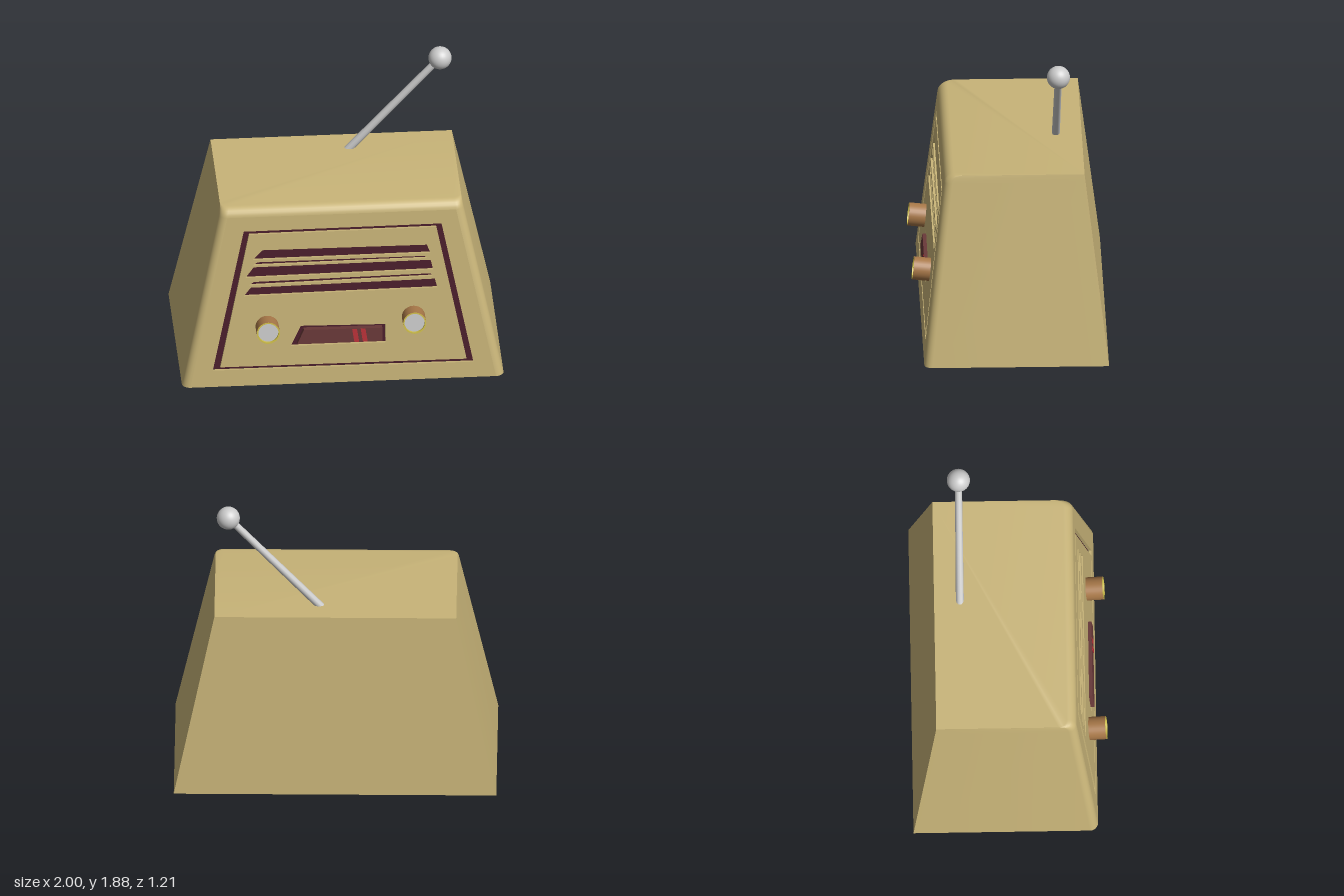
import * as THREE from 'three';
import { toCreasedNormals } from 'three/addons/utils/BufferGeometryUtils.js';

const SLOPE = 0.114, FRONT_Z = 0.535, TOP = 1.19, FILLET = 0.055, CORNER = 0.05;
const TILT = Math.atan(SLOPE), DEPTH = 0.02;

const mat = (color, side = THREE.FrontSide) =>
  new THREE.MeshStandardMaterial({ color, side, roughness: 0.8 });
const olive = mat(0xc8b478), maroon = mat(0x4a1c2a), glass = mat(0x683838),
  red = mat(0xb83038), brown = mat(0xa87848), gold = mat(0xd0c04c), grey = mat(0xcccccc);

function add(parent, name, geometry, material) {
  const mesh = new THREE.Mesh(geometry, material);
  mesh.name = name;
  parent.add(mesh);
  return mesh;
}

// Outline on the sloping front, given as x and world height
const outline = pts => pts.map(([x, y]) => new THREE.Vector2(x, y / Math.cos(TILT)));

function plate(pts, holes, depth) {
  const shape = new THREE.Shape(outline(pts));
  shape.holes = holes.map(h => new THREE.Path(outline(h)));
  return new THREE.ExtrudeGeometry(shape, { depth, bevelEnabled: false }).translate(0, 0, -DEPTH);
}

const halfWidth = y => 1 - 0.25 * y / TOP;

// Horizontal cross-section of the case with rounded front corners
function section(y, inset) {
  const w = halfWidth(y), zb = -0.61 + 0.145 * y / TOP, zf = FRONT_Z - SLOPE * y - inset;
  const ring = [[w, y, zb]];
  for (const s of [1, -1]) {
    for (let i = 0; i <= 6; i++) {
      const a = (s > 0 ? i : 6 - i) / 6 * Math.PI / 2;
      ring.push([s * (w - CORNER + CORNER * Math.cos(a)), y, zf - CORNER + CORNER * Math.sin(a)]);
    }
  }
  ring.push([-w, y, zb]);
  return ring;
}

// Tapered case, left open where the front plates sit
function caseGeometry() {
  const rings = [section(0, 0)];
  for (let i = 0; i <= 6; i++) {
    const a = i / 6 * Math.PI / 2;
    rings.push(section(TOP - FILLET + FILLET * Math.sin(a), FILLET * (1 - Math.cos(a))));
  }
  const n = rings[0].length, pos = [];
  const tri = (...p) => p.forEach(v => pos.push(...v));
  for (let k = 0; k + 1 < rings.length; k++) {
    for (let i = 0; i < n; i++) {
      if (k === 0 && i === 7) continue;
      const j = (i + 1) % n, lo = rings[k], hi = rings[k + 1];
      tri(lo[i], hi[i], lo[j]);
      tri(lo[j], hi[i], hi[j]);
    }
  }
  const last = rings[rings.length - 1];
  for (let i = 1; i + 1 < n; i++) {
    tri(rings[0][0], rings[0][i], rings[0][i + 1]);
    tri(last[0], last[i + 1], last[i]);
  }
  const g = new THREE.BufferGeometry();
  g.setAttribute('position', new THREE.Float32BufferAttribute(pos, 3));
  return toCreasedNormals(g, 0.5);
}

// Hollow-ended knob with a pale disc set into its rim
function knob(name, x, y) {
  const g = new THREE.Group();
  g.name = name;
  const turned = pts => new THREE.LatheGeometry(pts.map(p => new THREE.Vector2(...p)), 32).rotateX(Math.PI / 2);
  add(g, 'knobBody', turned([[0.072, -0.02], [0.072, 0.105]]), brown);
  add(g, 'knobRim', toCreasedNormals(turned([[0.072, 0.105], [0.063, 0.105], [0.063, 0.085]]), 0.5), gold);
  add(g, 'knobFace', new THREE.CircleGeometry(0.064, 32).translate(0, 0, 0.09), grey);
  g.position.set(x, y / Math.cos(TILT), 0);
  return g;
}

export function createModel() {
  const radio = new THREE.Group();
  radio.name = 'radio';
  add(radio, 'case', caseGeometry(), olive);

  // Everything on the sloping front lives in one tilted group
  const front = new THREE.Group();
  front.name = 'frontPanel';
  front.position.z = FRONT_Z;
  front.rotation.x = -TILT;
  radio.add(front);

  const edgeTop = TOP - FILLET, wt = halfWidth(edgeTop) - CORNER, wb = 1 - CORNER;
  const face = [[-wb, 0], [wb, 0], [wt, edgeTop], [-wt, edgeTop]];
  const grooveOuter = [[-0.81, 0.11], [0.81, 0.103], [0.62, 1.045], [-0.61, 1.04]];
  const grooveInner = [[-0.763, 0.13], [0.768, 0.125], [0.588, 1.023], [-0.577, 1.017]];
  const slots = [
    [[-0.555, 0.847], [0.55, 0.85], [0.527, 0.905], [-0.495, 0.91]],
    [[-0.555, 0.81], [0.527, 0.815], [0.517, 0.83], [-0.525, 0.83]],
    [[-0.602, 0.727], [0.565, 0.737], [0.55, 0.802], [-0.55, 0.797]],
    [[-0.58, 0.676], [0.56, 0.693], [0.55, 0.711], [-0.55, 0.698]],
    [[-0.613, 0.604], [0.59, 0.614], [0.575, 0.674], [-0.57, 0.66]],
  ];
  const dialHole = [[-0.324, 0.257], [0.265, 0.257], [0.265, 0.38], [-0.26, 0.39]];
  add(front, 'frontSurround', plate(face, [grooveOuter], DEPTH), olive);
  add(front, 'grillePlate', plate(grooveInner, [...slots, dialHole], DEPTH), olive);
  add(front, 'grilleBacking', new THREE.ShapeGeometry(new THREE.Shape(outline(grooveOuter)))
    .translate(0, 0, -DEPTH - 0.001), maroon);

  // Tuning dial with two red markers
  const dial = [[-0.285, 0.275], [0.245, 0.275], [0.245, 0.365], [-0.243, 0.37]];
  add(front, 'dialWindow', plate(dial, [], DEPTH + 0.02), glass);
  for (const x of [0.07, 0.123]) {
    const bar = [[x, 0.276], [x + 0.03, 0.276], [x + 0.017, 0.364], [x - 0.013, 0.364]];
    add(front, 'dialMarker', plate(bar, [], DEPTH + 0.022), red);
  }

  front.add(knob('rightKnob', -0.47, 0.395), knob('leftKnob', 0.44, 0.425));

  // Slanted aerial with a ball tip
  const foot = new THREE.Vector3(0.085, 1.17, -0.305), tip = new THREE.Vector3(0.665, 1.81, -0.305);
  const along = tip.clone().sub(foot);
  const rod = add(radio, 'aerialRod', new THREE.CylinderGeometry(0.022, 0.025, along.length(), 10), grey);
  rod.position.copy(foot).lerp(tip, 0.5);
  rod.quaternion.setFromUnitVectors(new THREE.Vector3(0, 1, 0), along.normalize());
  add(radio, 'aerialBall', new THREE.SphereGeometry(0.072, 32, 20), grey).position.copy(tip);

  return radio;
}
